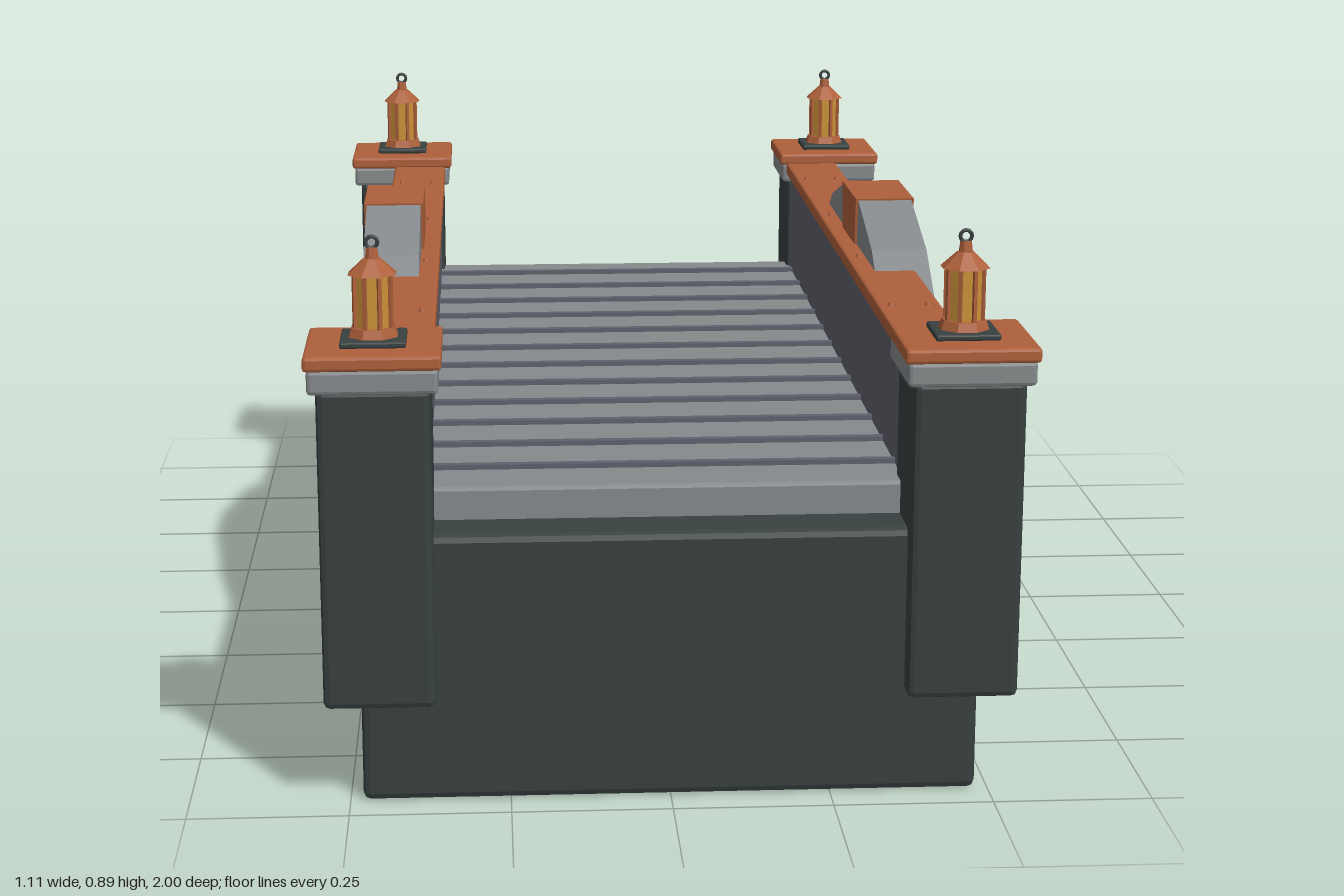
import * as THREE from 'three';
import { RoundedBoxGeometry } from 'three/addons/geometries/RoundedBoxGeometry.js';

const mat = (name, color) => {
  const m = new THREE.MeshStandardMaterial({ color });
  m.name = name;
  return m;
};

export function createModel() {
  const basalt = mat('dark basalt', 0x384040);
  const stone = mat('grey stone', 0x868a8c);
  const slate = mat('slate', 0x5f616c);
  const copper = mat('copper', 0xae603b);
  const glass = mat('amber glass', 0xca9238);

  const bridge = new THREE.Group();
  bridge.name = 'bridge';

  const add = (parent, name, geometry, material, x = 0, y = 0, z = 0) => {
    const mesh = new THREE.Mesh(geometry, material);
    mesh.name = name;
    mesh.position.set(x, y, z);
    parent.add(mesh);
    return mesh;
  };

  // Box with chamfered edges, placed by its minimum and maximum corners
  const block = (parent, name, material, [x0, x1], [y0, y1], [z0, z1], chamfer = 0.008) => {
    const geo = new RoundedBoxGeometry(x1 - x0, y1 - y0, z1 - z0, 1, chamfer);
    geo.computeVertexNormals();
    return add(parent, name, geo, material, (x0 + x1) / 2, (y0 + y1) / 2, (z0 + z1) / 2);
  };

  // Faceted, flat-shaded turned part
  const turned = (parent, name, material, rTop, rBottom, y0, y1, sides = 8) => {
    const geo = new THREE.CylinderGeometry(rTop, rBottom, y1 - y0, sides).toNonIndexed();
    geo.computeVertexNormals();
    const mesh = add(parent, name, geo, material, 0, (y0 + y1) / 2, 0);
    mesh.rotation.y = Math.PI / sides;
    return mesh;
  };

  // Lantern standing on y = 0
  const lantern = () => {
    const g = new THREE.Group();
    g.name = 'lantern';
    block(g, 'lanternFoot', basalt, [-0.05, 0.05], [0, 0.01], [-0.05, 0.05], 0.003);
    turned(g, 'lanternBase', copper, 0.035, 0.04, 0.01, 0.024);
    turned(g, 'lanternGlass', glass, 0.028, 0.028, 0.024, 0.105);
    for (let i = 0; i < 8; i++) {
      const a = (i + 0.5) * Math.PI / 4;
      const bar = add(g, 'lanternBar', new THREE.BoxGeometry(0.006, 0.081, 0.006), copper,
        Math.sin(a) * 0.029, 0.0645, Math.cos(a) * 0.029);
      bar.rotation.y = a;
    }
    turned(g, 'lanternRoof', copper, 0.013, 0.039, 0.105, 0.129);
    turned(g, 'lanternNeck', copper, 0.009, 0.011, 0.129, 0.145);
    add(g, 'lanternRing', new THREE.TorusGeometry(0.009, 0.003, 6, 12), basalt, 0, 0.153, 0);
    return g;
  };

  // Abutments at both ends
  for (const s of [-1, 1]) {
    const z = s > 0 ? [0.58, 0.945] : [-0.945, -0.58];
    block(bridge, 'abutment', basalt, [-0.48, 0.48], [0, 0.43], z, 0.012);
  }

  // Girder, deck and the raised ribs across it
  block(bridge, 'girder', slate, [-0.44, 0.44], [0.22, 0.4], [-0.56, 0.56], 0.008);
  block(bridge, 'deck', stone, [-0.4, 0.4], [0.415, 0.482], [-0.86, 0.86], 0.006);
  for (let i = 0; i < 12; i++) {
    add(bridge, 'deckRib', new THREE.BoxGeometry(0.74, 0.014, 0.014), slate,
      0, 0.483, (i - 5.5) * 0.1368);
  }

  // Voussoir between two angles from the crown, extruded along x
  const voussoir = (a0, a1, outer, inner, width) => {
    const p = (r, a) => new THREE.Vector2(r * Math.sin(a), r * Math.cos(a));
    const shape = new THREE.Shape([p(inner, a0), p(inner, a1), p(outer, a1), p(outer, a0)]);
    const geo = new THREE.ExtrudeGeometry(shape, { depth: width, bevelEnabled: false });
    return geo.translate(0, 0, -width / 2).rotateY(Math.PI / 2);
  };

  for (const side of [-1, 1]) {
    const span = (a, b) => (side > 0 ? [a, b] : [-b, -a]);

    // Parapet wall with its riveted coping
    block(bridge, 'parapet', slate, span(0.37, 0.45), [0.47, 0.685], [-0.82, 0.82], 0.004);
    block(bridge, 'coping', copper, span(0.36, 0.465), [0.68, 0.705], [-0.82, 0.82], 0.005);
    for (const z of [-0.6, -0.2, 0.2, 0.6]) {
      for (const x of [0.382, 0.443]) {
        add(bridge, 'rivet', new THREE.CylinderGeometry(0.005, 0.007, 0.006, 8), copper,
          side * x, 0.707, z);
      }
    }

    // Arch ring of eleven voussoirs, the middle one a copper keystone
    const step = Math.PI / 11;
    for (let i = -5; i <= 5; i++) {
      const key = i === 0;
      add(bridge, key ? 'keystone' : 'voussoir',
        voussoir((i - 0.5) * step, (i + 0.5) * step, key ? 0.677 : 0.674, key ? 0.588 : 0.59,
          key ? 0.105 : 0.096),
        key ? copper : stone, side * 0.441, 0.12, 0);
    }

    // Corner pillars with collar, cap and lantern
    for (const end of [-1, 1]) {
      const x = side * 0.45, z = end * 0.897;
      const around = (c, h) => [c - h, c + h];
      block(bridge, 'pillar', basalt, around(x, 0.086), [0.165, 0.67], around(z, 0.086), 0.01);
      block(bridge, 'pillarCollar', stone, around(x, 0.098), [0.665, 0.703], around(z, 0.098), 0.006);
      block(bridge, 'pillarCap', copper, around(x, 0.103), [0.702, 0.725], around(z, 0.103), 0.005);
      const lamp = lantern();
      lamp.position.set(x, 0.725, z);
      bridge.add(lamp);
    }
  }

  return bridge;
}
